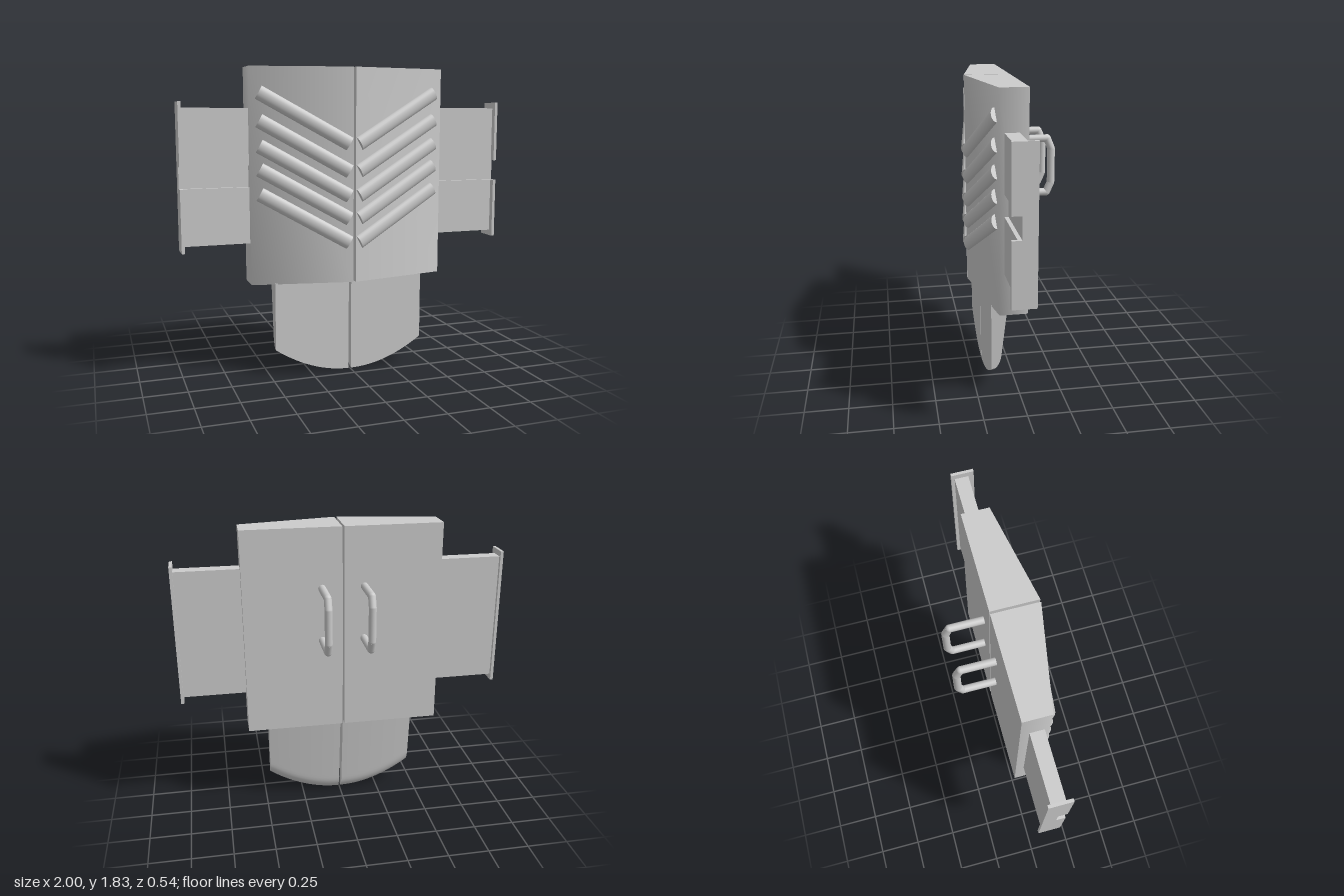
import * as THREE from 'three';
import { toCreasedNormals } from 'three/addons/utils/BufferGeometryUtils.js';

const material = new THREE.MeshStandardMaterial({ color: 0xcccccc });

function add(parent, name, geometry) {
  const mesh = new THREE.Mesh(geometry, material);
  mesh.name = name;
  parent.add(mesh);
  return mesh;
}

function extrude(points, depth) {
  const shape = new THREE.Shape(points.map(([a, b]) => new THREE.Vector2(a, b)));
  return new THREE.ExtrudeGeometry(shape, { depth, bevelEnabled: false });
}

// Extrude a [z, y] profile along x, from x0 to x1
function extrudeX(profile, x0, x1) {
  return extrude(profile.map(([z, y]) => [-z, y]), x1 - x0).rotateY(Math.PI / 2).translate(x0, 0, 0);
}

// Rectangular [z, y] profile with a slot cut into its front side
function slotted(zBack, zFront, yLow, yHigh) {
  return [
    [zBack, yLow], [zFront, yLow], [zFront, 1.14], [0.085, 1.14],
    [0.085, 1.265], [zFront, 1.265], [zFront, yHigh], [zBack, yHigh],
  ];
}

const frontZ = x => 0.246 - 0.185 * Math.abs(x); // sloping front of the body

// Tapered blade: arched bottom edge, flat front, back thinning downwards
function bladeGeometry(s) {
  const g = new THREE.BoxGeometry(1, 1, 1, 16, 20, 1);
  const p = g.attributes.position;
  for (let i = 0; i < p.count; i++) {
    const u = s * p.getX(i) + 0.5;
    const v = p.getY(i) + 0.5;
    const low = 0.003 + 0.16 * u * u;
    const y = low + (0.57 - low) * v * v;
    const round = Math.max(0, 1 - (y - low) / 0.08);
    const taper = 0.035 + 0.12 * (0.57 - y) + 0.03 * u * u;
    const back = taper + (0.15 - taper) * (1 - Math.sqrt(1 - round * round));
    p.setXYZ(i, s * (0.008 + 0.459 * u), y, p.getZ(i) > 0 ? 0.163 : back);
  }
  g.computeVertexNormals();
  return g;
}

// Round bar between two points
function rod(parent, name, a, b, radius) {
  const dir = b.clone().sub(a);
  const mesh = add(parent, name, new THREE.CylinderGeometry(radius, radius, dir.length(), 16));
  mesh.position.copy(a).add(b).multiplyScalar(0.5);
  mesh.quaternion.setFromUnitVectors(new THREE.Vector3(0, 1, 0), dir.normalize());
  return mesh;
}

function addHandle(parent, x) {
  const handle = new THREE.Group();
  handle.name = 'handle';
  const path = [[1.467, 0], [1.467, -0.226], [1.405, -0.252], [1.2, -0.252], [1.14, -0.226], [1.14, 0]]
    .map(([y, z]) => new THREE.Vector3(x, y, z));
  for (let i = 1; i < path.length; i++) {
    rod(handle, 'handleBar', path[i - 1], path[i], 0.023);
    if (i < path.length - 1) {
      add(handle, 'handleCorner', new THREE.SphereGeometry(0.023, 16, 10)).position.copy(path[i]);
    }
  }
  parent.add(handle);
}

// Flattened rib lying on the sloping front, rising outwards
function addRib(parent, s, y) {
  const inner = new THREE.Vector3(s * 0.03, y - 0.296, frontZ(0.03));
  const outer = new THREE.Vector3(s * 0.547, y, frontZ(0.547));
  const along = outer.clone().sub(inner);
  const length = along.length();
  along.normalize();
  const normal = new THREE.Vector3(s * 0.185, 0, 1).normalize();
  const across = new THREE.Vector3().crossVectors(along, normal);
  const rib = add(parent, 'rib', new THREE.CylinderGeometry(0.042, 0.042, length, 20).scale(1, 1, 0.62));
  rib.quaternion.setFromRotationMatrix(new THREE.Matrix4().makeBasis(across, along, normal));
  rib.position.copy(inner).add(outer).multiplyScalar(0.5);
}

export function createModel() {
  const model = new THREE.Group();
  model.name = 'model';

  // Slotted beam running through both halves
  add(model, 'crossBeam', extrudeX(slotted(0.025, 0.107, 0.81, 1.595), -0.985, 0.985));

  for (const s of [1, -1]) {
    const half = new THREE.Group();
    half.name = s > 0 ? 'leftHalf' : 'rightHalf';

    // Body half: plan outline extruded upwards
    const plan = [[0.007, -0.025], [0.6, -0.025], [0.6, 0.135], [0.007, 0.246]];
    const body = extrude(plan.map(([x, z]) => [s * x, -z]), 1.265).rotateX(-Math.PI / 2).translate(0, 0.565, 0);
    add(half, 'body', toCreasedNormals(body, 1.45));

    add(half, 'blade', bladeGeometry(s));

    // End flange of the beam
    const [x0, x1] = s > 0 ? [0.982, 1] : [-1, -0.982];
    add(half, 'endFlange', extrudeX(slotted(0.005, 0.14, 0.775, 1.63), x0, x1));

    for (const y of [1.683, 1.523, 1.378, 1.243, 1.1]) addRib(half, s, y);
    addHandle(half, s * 0.128);
    model.add(half);
  }
  return model;
}
